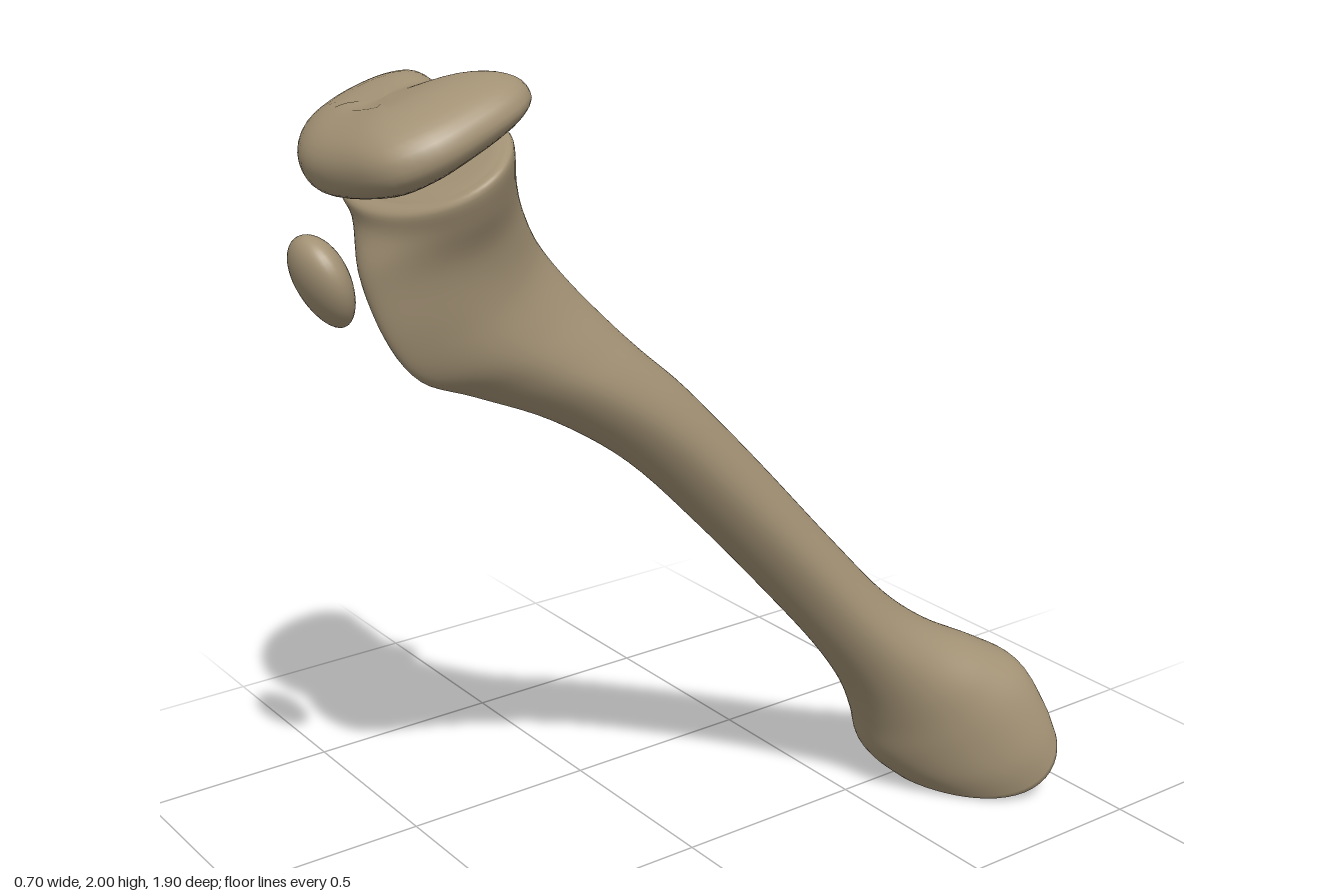
import * as THREE from 'three';

const SEG = 56;

// Skin a list of rings (each SEG points) into one smooth closed surface
function loft(rings) {
  const pos = [], idx = [];
  for (const ring of rings) for (const p of ring) pos.push(p.x, p.y, p.z);
  for (let i = 0; i < rings.length - 1; i++) {
    for (let j = 0; j < SEG; j++) {
      const a = i * SEG + j, b = i * SEG + (j + 1) % SEG;
      idx.push(a, b, a + SEG, b, b + SEG, a + SEG);
    }
  }
  const g = new THREE.BufferGeometry();
  g.setAttribute('position', new THREE.Float32BufferAttribute(pos, 3));
  g.setIndex(idx);
  g.computeVertexNormals();
  return g;
}

// Smooth interpolation between rows of section values
function sampleRows(rows, t) {
  const n = rows.length, i = Math.min(Math.floor(t), n - 2), f = t - i;
  const r = k => rows[Math.max(0, Math.min(n - 1, k))];
  return rows[i].map((_, c) => {
    const a = r(i - 1)[c], b = r(i)[c], d = r(i + 1)[c], e = r(i + 2)[c];
    return b + 0.5 * f * (d - a + f * (2 * a - 5 * b + 4 * d - e + f * (3 * (b - d) + e - a)));
  });
}

// One cross-section; scale and inset shrink it into an end cap
function section(row, scale = 1, inset = 0) {
  const [fz, fy, bz, by, x0, x1, taper, skew, notch, push] = row;
  const half = new THREE.Vector3(0, (fy - by) / 2, (fz - bz) / 2);
  const mid = new THREE.Vector3((x0 + x1) / 2, (fy + by) / 2, (fz + bz) / 2);
  const axis = new THREE.Vector3(0, -half.z, half.y).normalize();
  return Array.from({ length: SEG }, (_, j) => {
    const a = j / SEG * Math.PI * 2, c = Math.cos(a), s = Math.sin(a);
    const u = c * (1 - taper * Math.max(0, s) ** 2) * (x1 - x0) / 2 + skew * s;
    const v = s < 0 ? s * (1 - notch * Math.exp(-((c / 0.4) ** 2))) : s;
    const p = mid.clone().addScaledVector(half, v * scale);
    p.x += u * scale;
    return p.addScaledVector(axis, push * Math.max(0, c) ** 2 * scale + inset);
  });
}

function shaftGeometry() {
  // front z, y | back z, y | x min, max | front taper, skew, back notch, ankle push
  const flare = [
    [0.77, 1.755, 0.525, 1.9, -0.29, 0.19, 0, 0.02, 0.2, 0],
    [0.8, 1.735, 0.495, 1.895, -0.33, 0.22, 0, 0.02, 0.2, 0],
    [0.8, 1.69, 0.48, 1.8, -0.27, 0.195, 0.1, 0.02, 0.14, 0],
    [0.82, 1.6, 0.455, 1.7, -0.18, 0.15, 0.3, 0, 0.05, 0],
    [0.79, 1.47, 0.41, 1.61, -0.125, 0.13, 0.45, 0.01, 0, 0],
    [0.72, 1.37, 0.34, 1.52, -0.1, 0.13, 0.5, 0.01, 0, 0],
    [0.59, 1.31, 0.26, 1.43, -0.09, 0.135, 0.5, 0, 0, 0]
  ];
  const shank = [
    [0.4, 1.22, 0.18, 1.35, -0.085, 0.145, 0.4, 0, 0, 0],
    [0.2, 1.08, 0.06, 1.24, -0.085, 0.15, 0.3, 0, 0, 0],
    [0, 0.88, -0.14, 1.03, -0.088, 0.152, 0.25, 0, 0, 0],
    [-0.2, 0.66, -0.36, 0.785, -0.088, 0.165, 0.2, 0, 0, 0],
    [-0.36, 0.47, -0.53, 0.6, -0.078, 0.19, 0.1, 0, 0, 0]
  ];
  const ankle = [
    [-0.46, 0.33, -0.66, 0.495, -0.07, 0.22, 0, -0.02, 0, 0],
    [-0.515, 0.22, -0.8, 0.42, -0.075, 0.26, 0, -0.05, 0, 0],
    [-0.55, 0.13, -0.89, 0.365, -0.09, 0.295, 0, -0.07, 0.02, 0.02],
    [-0.595, 0.07, -0.935, 0.28, -0.09, 0.325, 0, -0.08, 0.05, 0.06],
    [-0.65, 0.02, -0.95, 0.22, -0.065, 0.335, 0, -0.08, 0.08, 0.09]
  ];
  const rows = [...flare, ...shank, ...ankle], first = rows[0], last = rows[rows.length - 1];
  const rings = [section(first, 0), section(first, 0.5), section(first, 0.88, -0.005)];
  const steps = (rows.length - 1) * 5;
  for (let i = 0; i <= steps; i++) rings.push(section(sampleRows(rows, i / 5)));
  // Rounded rim and hollow joint face
  for (const [s, inset] of [[0.93, 0.014], [0.82, 0.008], [0.6, -0.025], [0.3, -0.045], [0, -0.05]]) {
    rings.push(section(last, s, inset));
  }
  return loft(rings);
}

// Kidney-shaped cap, tilted forward and rolled slightly
function capGeometry() {
  const outline = [[0.225, 0.66], [0.22, 0.76], [0.17, 0.84], [0.05, 0.88], [-0.1, 0.89], [-0.22, 0.85],
    [-0.31, 0.78], [-0.35, 0.67], [-0.33, 0.57], [-0.26, 0.52], [-0.16, 0.53], [-0.08, 0.56],
    [0, 0.54], [0.08, 0.495], [0.14, 0.485], [0.2, 0.54]];
  const curve = new THREE.CatmullRomCurve3(
    outline.map(([x, z]) => new THREE.Vector3(x + 0.06, 0, (z - 0.69) * 1.02)), true);
  const edge = curve.getPoints(SEG).slice(0, SEG);
  const rings = [];
  for (let i = 0; i <= 24; i++) {
    const a = i / 24 * Math.PI, r = Math.sin(a) ** 0.75, h = Math.sign(Math.cos(a)) * Math.abs(Math.cos(a)) ** 0.9;
    rings.push(edge.map(e => {
      const x = e.x * r, z = e.z * r;
      const thick = h > 0 ? 0.095 + 0.04 * z : 0.075 + 0.07 * z;
      // Shallow saddle between the two upper joint facets
      const dip = h > 0 ? 0.015 * Math.exp(-((x / 0.09) ** 2)) * (z < 0.05 ? 1 : 0.4) : 0;
      return new THREE.Vector3(x, h * (thick - dip), z);
    }));
  }
  return loft(rings);
}

// Small egg-shaped nodule, narrower at the bottom
function noduleGeometry() {
  const g = new THREE.SphereGeometry(1, 32, 24), p = g.attributes.position;
  for (let i = 0; i < p.count; i++) {
    const y = p.getY(i), w = 1 + 0.12 * y;
    p.setXYZ(i, p.getX(i) * 0.086 * w, y * 0.105, p.getZ(i) * 0.05 * w);
  }
  g.computeVertexNormals();
  return g;
}

export function createModel() {
  const bone = new THREE.MeshStandardMaterial({ color: 0xa39275 });
  bone.name = 'bone';
  const group = new THREE.Group();
  group.name = 'shinBone';
  const add = (name, geometry) => {
    const mesh = new THREE.Mesh(geometry, bone);
    mesh.name = name;
    group.add(mesh);
    return mesh;
  };

  add('shaft', shaftGeometry());

  const cap = add('upperGrowthCap', capGeometry());
  cap.position.set(-0.06, 1.875, 0.695);
  cap.rotation.set(0.37, 0, 0.1);

  const nodule = add('frontNodule', noduleGeometry());
  nodule.position.set(-0.035, 1.6, 0.9);
  nodule.rotation.x = 0.36;

  return group;
}
